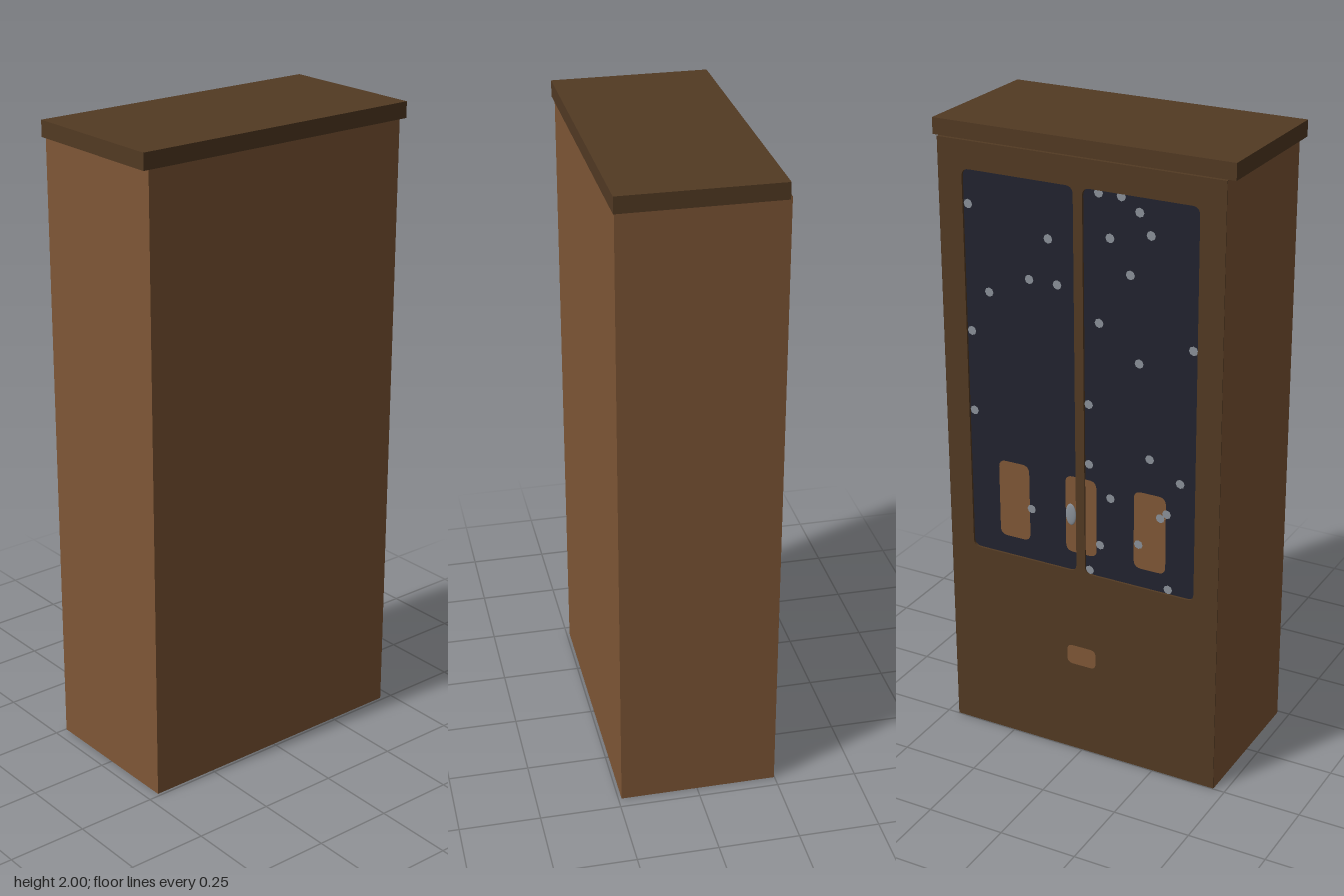
import * as THREE from 'three';

const mat = (name, color, side = THREE.FrontSide) => {
  const m = new THREE.MeshStandardMaterial({ color, side });
  m.name = name;
  return m;
};

// Rounded rectangle centred on (cx, cy)
function roundRect(Type, cx, cy, w, h, r) {
  const p = new Type(), x = cx - w / 2, y = cy - h / 2;
  p.moveTo(x + r, y);
  p.lineTo(x + w - r, y);
  p.quadraticCurveTo(x + w, y, x + w, y + r);
  p.lineTo(x + w, y + h - r);
  p.quadraticCurveTo(x + w, y + h, x + w - r, y + h);
  p.lineTo(x + r, y + h);
  p.quadraticCurveTo(x, y + h, x, y + h - r);
  p.lineTo(x, y + r);
  p.quadraticCurveTo(x, y, x + r, y);
  return p;
}

export function createModel() {
  const wood = mat('wood', 0x7f5736, THREE.DoubleSide);
  const darkWood = mat('darkWood', 0x523a23);
  const glassMat = mat('darkGlass', 0x22232f, THREE.DoubleSide);
  const silver = mat('silver', 0x8a9199);
  const model = new THREE.Group();
  model.name = 'cabinet';

  const add = (parent, name, geo, material, x = 0, y = 0, z = 0) => {
    const mesh = new THREE.Mesh(geo, material);
    mesh.name = name;
    mesh.position.set(x, y, z);
    parent.add(mesh);
    return mesh;
  };

  // Thin case walls, open underneath
  const H = 1.95, W = 0.924, F = 0.24, B = -0.248;
  add(model, 'plainPanel', new THREE.PlaneGeometry(W, H), wood, 0, H / 2, F);
  for (const s of [-1, 1]) {
    const wall = add(model, s > 0 ? 'leftWall' : 'rightWall',
      new THREE.PlaneGeometry(F - B, H), wood, s * W / 2, H / 2, (F + B) / 2);
    wall.rotation.y = s * Math.PI / 2;
  }

  // Overhanging cornice
  add(model, 'cornice', new THREE.BoxGeometry(0.966, 0.05, 0.483), darkWood, 0, 1.975, 0.0045);

  // Glazed face, built facing local +z and turned to the rear
  const face = new THREE.Group();
  face.name = 'glazedFace';
  face.rotation.y = Math.PI;
  model.add(face);

  const frame = new THREE.Shape();
  frame.moveTo(-0.461, 0);
  frame.lineTo(0.461, 0);
  frame.lineTo(0.461, H);
  frame.lineTo(-0.461, H);
  frame.closePath();
  for (const s of [-1, 1])
    frame.holes.push(roundRect(THREE.Path, s * 0.1985, 1.2525, 0.367, 1.225, 0.025));
  add(face, 'doorFrame',
    new THREE.ExtrudeGeometry(frame, { depth: 0.02, bevelEnabled: false, curveSegments: 6 }),
    darkWood, 0, 0, 0.228);

  add(face, 'glass', new THREE.PlaneGeometry(0.82, 1.28), glassMat, 0, 1.2525, 0.241);

  // Wooden plates behind the frame bars
  for (const x of [-0.232, 0, 0.232])
    add(face, 'woodPlate', new THREE.ShapeGeometry(roundRect(THREE.Shape, x, 0.83, 0.106, 0.255, 0.025), 6),
      wood, 0, 0, 0.2425);

  // Drawer pull plate
  add(face, 'drawerPull', new THREE.ShapeGeometry(roundRect(THREE.Shape, 0, 0.343, 0.1, 0.066, 0.02), 6),
    wood, 0, 0, 0.2488);

  // Oval door knob
  const knob = add(face, 'doorKnob', new THREE.SphereGeometry(1, 16, 10), silver, -0.034, 0.83, 0.2445);
  knob.scale.set(0.018, 0.036, 0.004);

  // Scattered silver flecks on the glass: x, y
  const flecks = [
    [-0.366, 1.76], [-0.366, 1.365], [-0.366, 1.106], [-0.1, 1.695], [-0.165, 1.561],
    [-0.302, 1.498], [-0.072, 1.56], [-0.172, 0.815], [0.065, 1.857], [0.065, 1.467],
    [0.065, 0.749], [0.137, 1.857], [0.195, 1.819], [0.195, 1.366], [0.195, 0.783],
    [0.101, 1.729], [0.101, 0.914], [0.231, 1.757], [0.231, 1.071], [0.166, 1.63],
    [0.367, 1.438], [0.029, 1.205], [0.029, 1.011], [0.029, 0.655], [0.331, 1.014],
    [0.288, 0.905], [0.267, 0.887], [0.295, 0.655],
  ];
  const fleckGeo = new THREE.CircleGeometry(0.0145, 8);
  for (const [x, y] of flecks) add(face, 'fleck', fleckGeo, silver, x, y, 0.2438);

  return model;
}
